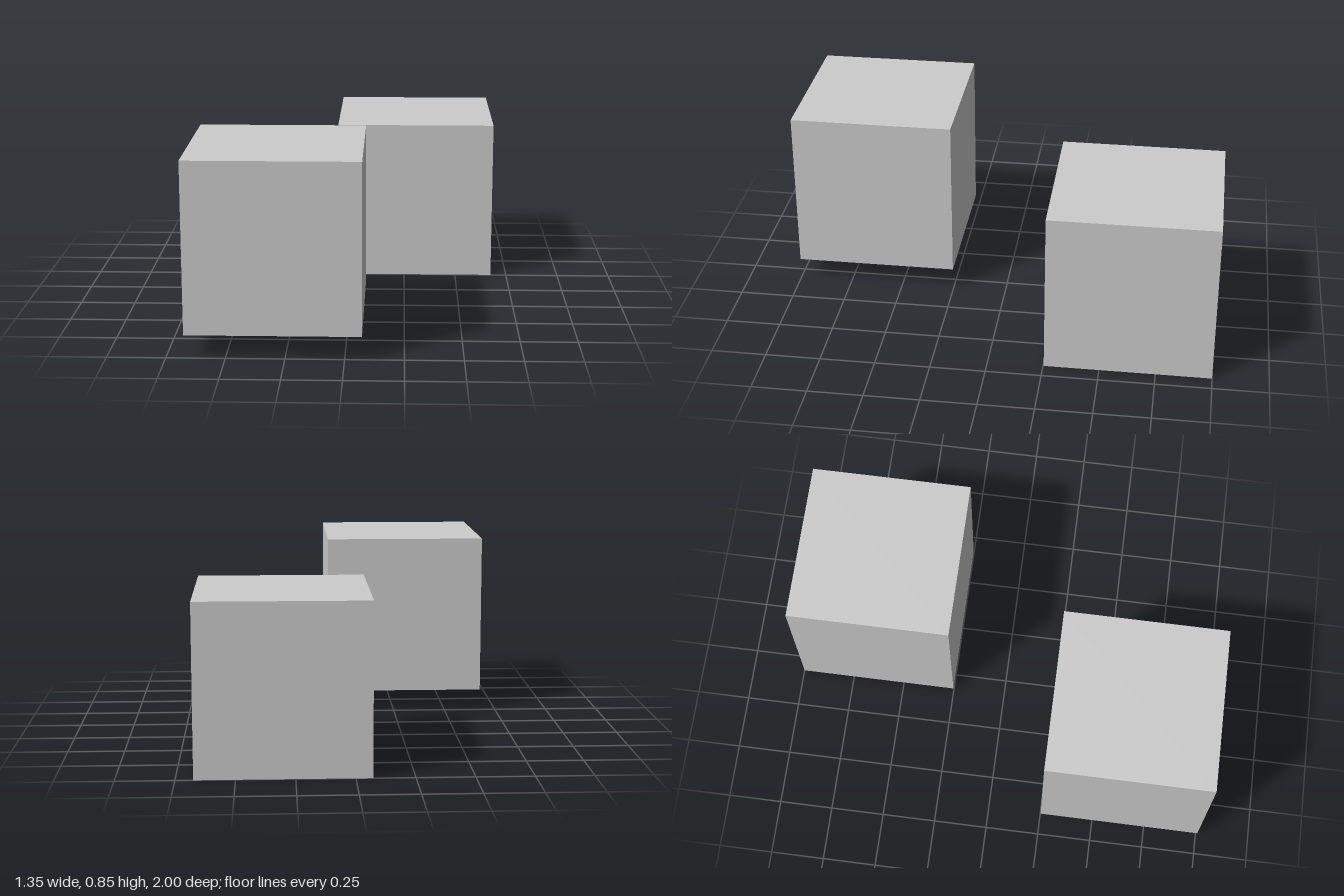
import * as THREE from 'three';

const SIZE = 0.747;

export function createModel() {
  const model = new THREE.Group();
  const material = new THREE.MeshStandardMaterial({ color: 0xcccccc, flatShading: true });
  const geometry = new THREE.BoxGeometry(SIZE, SIZE, SIZE);

  // Adds one cube, placed by its centre in plan and its underside height
  const addCube = (name, x, bottom, z) => {
    const cube = new THREE.Mesh(geometry, material);
    cube.name = name;
    cube.position.set(x, bottom + SIZE / 2, z);
    model.add(cube);
  };

  // Raised cube at the front, grounded cube at the back
  const x = 0.301, z = 1 - SIZE / 2;
  addCube('frontCube', -x, 0.1, z);
  addCube('backCube', x, 0, -z);

  return model;
}
